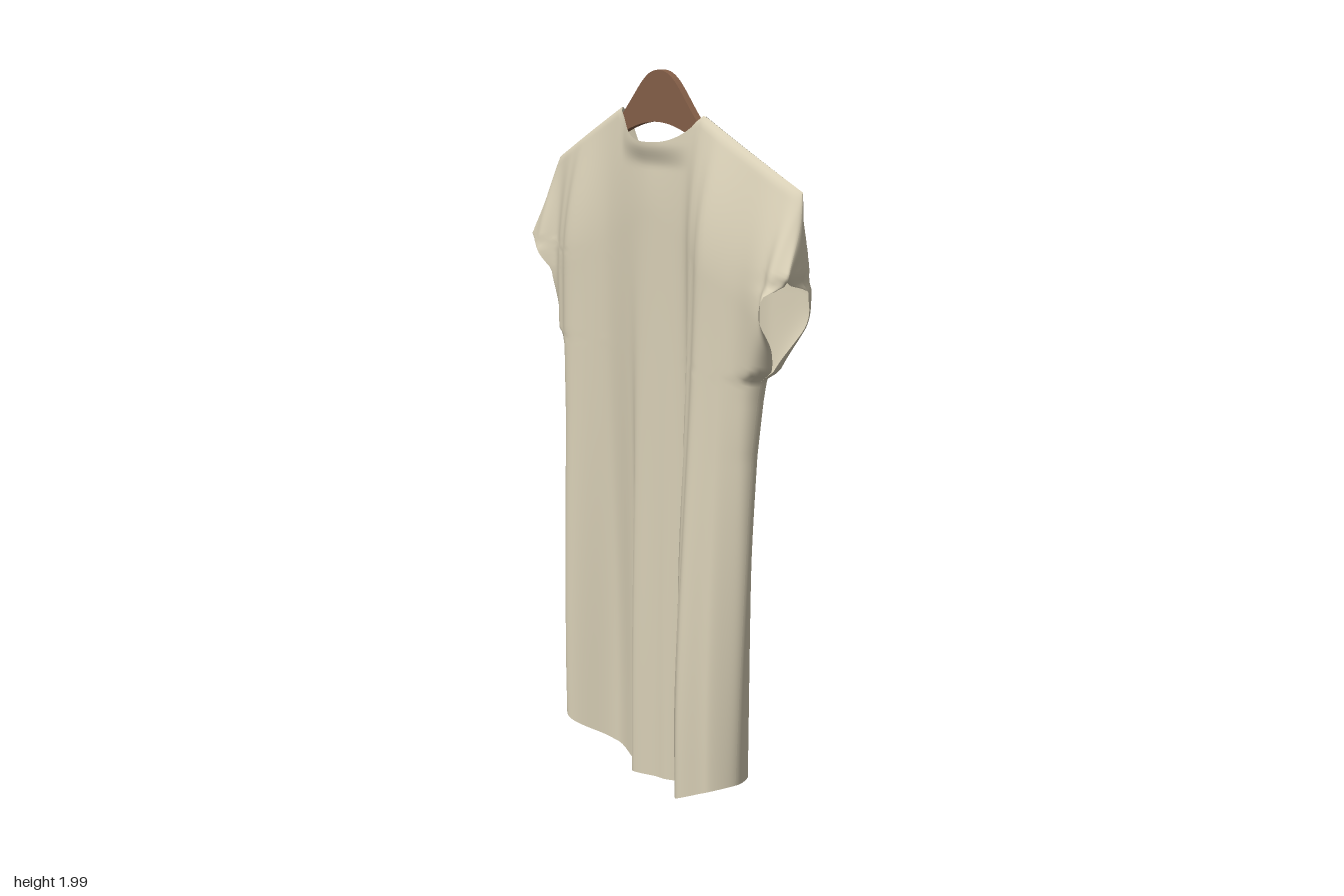
import * as THREE from 'three';

// interpolate a list of [key, value] pairs, linear or eased
function lookup(table, k, ease) {
  if (k <= table[0][0]) return table[0][1];
  for (let i = 1; i < table.length; i++) {
    const [k0, v0] = table[i - 1], [k1, v1] = table[i];
    if (k <= k1) {
      let t = (k - k0) / (k1 - k0);
      if (ease) t = t * t * (3 - 2 * t);
      return v0 + (v1 - v0) * t;
    }
  }
  return table[table.length - 1][1];
}

// half widths of the outline by height: body, armpit, cuff, shoulder
const widthLeft = [[0, .375], [.1, .378], [.8, .403], [1, .412], [1.16, .43], [1.22, .44], [1.24, .475],
  [1.36, .525], [1.46, .555], [1.51, .597], [1.6, .577], [1.68, .56], [1.72, .55]];
const widthRight = [[0, .365], [.1, .368], [.8, .397], [1, .402], [1.16, .425], [1.22, .445], [1.24, .488],
  [1.4, .495], [1.46, .54], [1.49, .6], [1.6, .56], [1.68, .535], [1.72, .52]];
// fold depth (z) across x, near the hem and at chest height
const frontLow = [[-.4, .035], [-.34, .07], [-.2, -.03], [-.09, -.01], [-.04, .045], [.06, .02], [.165, -.025],
  [.2, .08], [.27, .125], [.34, .09], [.4, .04]];
const frontHigh = [[-.6, .015], [-.54, .025], [-.48, -.01], [-.42, .015], [-.36, .04], [-.2, .005], [-.03, .02],
  [.13, 0], [.21, .035], [.27, .06], [.41, .035], [.5, .045], [.56, .092], [.6, .08]];
const backLow = [[-.38, -.035], [-.3, -.062], [-.2, -.078], [-.1, -.068], [0, -.065], [.08, -.055],
  [.22, -.107], [.31, -.09], [.4, -.04]];
const backHigh = [[-.6, -.01], [-.55, -.05], [-.48, -.1], [-.4, -.065], [-.2, -.073], [-.06, -.072], [0, -.1],
  [.1, -.068], [.22, -.09], [.4, -.075], [.52, -.12], [.56, -.08], [.6, .02]];
// hem height across the width
const frontHem = [[-1, .115], [-.8, .075], [-.6, .035], [-.25, .005], [0, .008], [.35, .012], [.7, .035], [1, .08]];
const backHem = [[-1, .115], [-.75, .075], [-.5, .075], [-.08, .14], [.08, .14], [.5, .075], [.75, .065], [1, .08]];

const halfWidth = (s, y) => lookup(s < 0 ? widthRight : widthLeft, y);
const shoulderY = (x) => {
  const outer = x < 0 ? .52 : .55;
  return 1.89 - (Math.abs(x) - .18) * .17 / (outer - .18);
};
const shoulderZ = (x) => -.03 - .03 * Math.min(1, (x / .55) ** 2);

// upper edge: neckline in the middle, shoulder seam outside
function topY(x, back) {
  const a = Math.abs(x) / .18;
  if (a >= 1) return shoulderY(x);
  return back ? 1.56 + .33 * a ** 1.7 : 1.81 + .08 * a ** 2.6;
}

function depth(x, y, back) {
  const b = THREE.MathUtils.smoothstep(y, .15, 1.6);
  const low = lookup(back ? backLow : frontLow, x, true);
  const high = lookup(back ? backHigh : frontHigh, x, true);
  const z = low + (high - low) * b;
  // rounded roll along the shoulder, then the cloth falls out to the folds
  const drop = Math.max(0, shoulderY(x) - y);
  const roll = .012 * Math.sqrt(Math.min(1, drop / .02)) * (back ? -1 : 1);
  const fall = Math.sin(Math.min(1, drop / (back ? .3 : .36)) * Math.PI / 2);
  // the front collar leans slightly outward
  const collar = back ? 0 : .025 * THREE.MathUtils.smoothstep(y, 1.74, 1.81) * Math.max(0, 1 - (x / .15) ** 2);
  return THREE.MathUtils.lerp(shoulderZ(x) + roll, z, fall) + collar;
}

// one cloth panel from s0 to s1 (-1 = right edge, 1 = left edge)
function clothPanel(s0, s1, back, lift = 0) {
  const cols = Math.round(52 * (s1 - s0)), rows = 100;
  const pos = [], idx = [];
  for (let i = 0; i <= cols; i++) {
    const s = Math.sin((s0 + (s1 - s0) * i / cols) * Math.PI / 2);
    const hem = lookup(back ? backHem : frontHem, s);
    let top = 1.75;
    for (let k = 0; k < 12; k++) top = (top + topY(s * halfWidth(s, top), back)) / 2;
    for (let j = 0; j <= rows; j++) {
      // rows crowd toward the upper edge
      const t = j / rows, y = hem + (top - hem) * t * (1.5 - .5 * t);
      const x = s * halfWidth(s, y);
      const f = depth(x, y, false), r = depth(x, y, true), mid = (f + r) / 2;
      // panels close along the sides but stay apart at the cuffs
      const open = THREE.MathUtils.smoothstep(y, 1.22, 1.42) * (1 - THREE.MathUtils.smoothstep(y, 1.46, 1.5));
      const round = Math.sqrt(Math.max(0, 1 - Math.abs(s) ** 16));
      const z = mid + ((back ? r : f) - mid) * (round + (1 - round) * open);
      pos.push(x, y, z - lift * Math.max(0, 1 - Math.abs(s) * 5));
    }
  }
  for (let i = 0; i < cols; i++) for (let j = 0; j < rows; j++) {
    const a = i * (rows + 1) + j, b = a + rows + 1;
    if (back) idx.push(a, a + 1, b, b, a + 1, b + 1);
    else idx.push(a, b, a + 1, b, b + 1, a + 1);
  }
  const g = new THREE.BufferGeometry();
  g.setAttribute('position', new THREE.Float32BufferAttribute(pos, 3));
  g.setIndex(idx);
  g.computeVertexNormals();
  return g;
}

export function createModel() {
  const cloth = new THREE.MeshStandardMaterial({ color: 0xd8cfb6, side: THREE.DoubleSide });
  cloth.name = 'cream cloth';
  const wood = new THREE.MeshStandardMaterial({ color: 0x855f48 });
  wood.name = 'brown wood';
  const model = new THREE.Group();
  model.name = 'shirtOnHanger';
  const add = (name, geometry, material) => {
    const mesh = new THREE.Mesh(geometry, material);
    mesh.name = name;
    model.add(mesh);
  };

  // shirt: whole front, and a back split along the centre opening
  add('shirtFront', clothPanel(-1, 1, false), cloth);
  add('shirtBackRight', clothPanel(-1, 0, true, .006), cloth);
  add('shirtBackLeft', clothPanel(0, 1, true), cloth);

  // arched wooden hanger, arms hidden inside the shoulders
  const arch = new THREE.Shape();
  arch.moveTo(-.27, 1.79);
  arch.lineTo(-.175, 1.865);
  arch.bezierCurveTo(-.1, 1.93, -.07, 2, 0, 2);
  arch.bezierCurveTo(.07, 2, .1, 1.93, .175, 1.865);
  arch.lineTo(.27, 1.79);
  arch.lineTo(.26, 1.765);
  arch.quadraticCurveTo(.12, 1.86, 0, 1.86);
  arch.quadraticCurveTo(-.12, 1.86, -.26, 1.765);
  const hanger = new THREE.ExtrudeGeometry(arch, { depth: .02, bevelEnabled: false, curveSegments: 16 });
  add('hanger', hanger.translate(0, 0, -.039), wood);
  return model;
}
